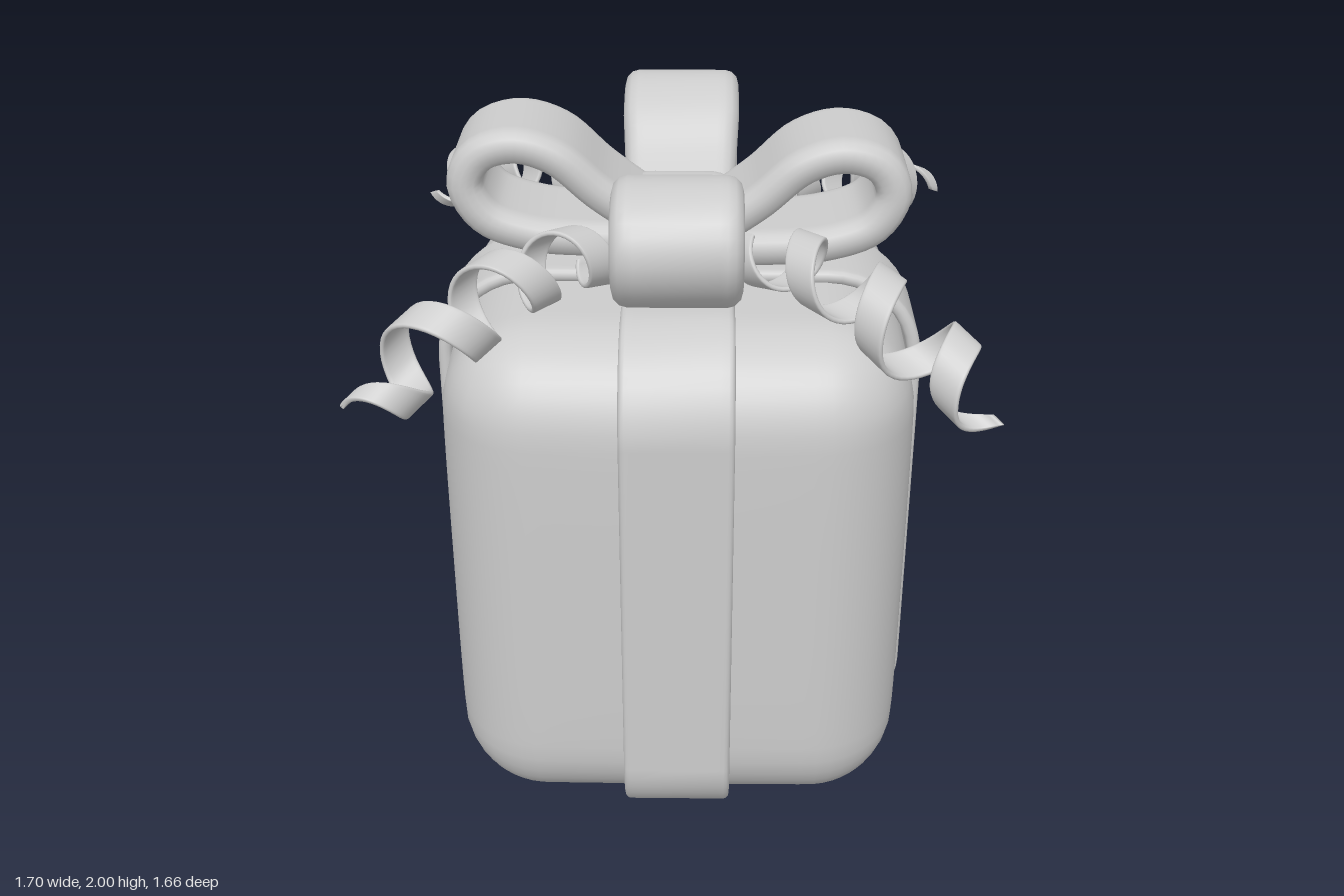
import * as THREE from 'three';
import { mergeVertices } from 'three/addons/utils/BufferGeometryUtils.js';

const V = (x, y, z) => new THREE.Vector3(x, y, z);

// Box with rounded corners whose sides swell slightly in the middle
function softBox(w, h, d, r, bulge, seg) {
  const geo = new THREE.BoxGeometry(w, h, d, seg, seg, seg);
  geo.deleteAttribute('normal');
  geo.deleteAttribute('uv');
  const half = V(w / 2, h / 2, d / 2);
  const inner = half.clone().subScalar(r);
  const low = inner.clone().negate();
  const pos = geo.attributes.position;
  const p = V(0, 0, 0), core = V(0, 0, 0);
  for (let i = 0; i < pos.count; i++) {
    p.fromBufferAttribute(pos, i);
    core.copy(p).clamp(low, inner);
    p.sub(core).setLength(r).add(core);
    const n = p.clone().divide(half);
    p.x *= 1 + bulge * (1 - n.z * n.z) * (1 - n.y ** 4);
    p.z *= 1 + bulge * (1 - n.x * n.x) * (1 - n.y ** 4);
    pos.setXYZ(i, p.x, p.y, p.z);
  }
  const merged = mergeVertices(geo, 1e-4);
  merged.computeVertexNormals();
  return merged;
}

// Cross-section of a ribbon: rounded rectangle, counter-clockwise
function ribbonSection(w, t) {
  const a = w / 2, b = t / 2, r = b * 0.85;
  const pts = [];
  const corners = [[1, 1, 0], [-1, 1, 1], [-1, -1, 2], [1, -1, 3]];
  for (const [sx, sy, q] of corners) {
    const arc = [];
    for (let k = 0; k <= 3; k++) {
      const ang = (q + k / 3) * Math.PI / 2;
      arc.push([sx * (a - r) + r * Math.cos(ang), sy * (b - r) + r * Math.sin(ang)]);
    }
    const inset = [sx * (a - r) * 0.85, sy * b];
    pts.push(...(q % 2 === 0 ? [...arc, inset] : [inset, ...arc]));
  }
  return pts;
}

// Sweep a ribbon along points; across(i) is the width direction, scale(u) the width factor
function ribbon(points, across, w, t, closed, scale = () => 1) {
  const n = points.length, verts = [], idx = [];
  const section = ribbonSection(w, t), m = section.length;
  for (let i = 0; i < n; i++) {
    const prev = points[closed ? (i + n - 1) % n : Math.max(i - 1, 0)];
    const next = points[closed ? (i + 1) % n : Math.min(i + 1, n - 1)];
    const tan = next.clone().sub(prev).normalize();
    const a = across(i).clone().normalize();
    const nor = tan.clone().cross(a).normalize();
    const s = scale(i / (n - 1));
    for (const [x, y] of section) {
      const p = points[i].clone().addScaledVector(a, x * s).addScaledVector(nor, y);
      verts.push(p.x, p.y, p.z);
    }
  }
  for (let i = 0; i < (closed ? n : n - 1); i++) {
    const i2 = (i + 1) % n;
    for (let j = 0; j < m; j++) {
      const j2 = (j + 1) % m;
      const a = i * m + j, b = i * m + j2, c = i2 * m + j, d = i2 * m + j2;
      idx.push(a, b, d, a, d, c);
    }
  }
  if (!closed) {
    const e = (n - 1) * m;
    for (let j = 1; j < m - 1; j++) idx.push(0, j + 1, j, e, e + j, e + j + 1);
  }
  const geo = new THREE.BufferGeometry();
  geo.setAttribute('position', new THREE.Float32BufferAttribute(verts, 3));
  geo.setIndex(idx);
  geo.computeVertexNormals();
  return geo;
}

// Closed loop around the box in the x-y plane
function bandPath() {
  const X = 0.683, top = 1.567, bottom = 0.022, pts = [];
  const corner = (cx, cy, r, start) => {
    for (let k = 0; k <= 10; k++) {
      const a = start + (k / 10) * Math.PI / 2;
      pts.push(V(cx + r * Math.cos(a), cy + r * Math.sin(a), 0));
    }
  };
  const rt = 0.26, rb = 0.21;
  corner(X - rt, top - rt, rt, 0);
  corner(-X + rt, top - rt, rt, Math.PI / 2);
  corner(-X + rb, bottom + rb, rb, Math.PI);
  corner(X - rb, bottom + rb, rb, Math.PI * 1.5);
  return pts;
}

// Springy ribbon curl running out along one diagonal, with a loose tail
function curlGeometry(sx, sz, phase, turns) {
  const axis = new THREE.CatmullRomCurve3(
    [[0.2, 1.66], [0.34, 1.685], [0.5, 1.655], [0.65, 1.57], [0.8, 1.47]]
      .map(([d, y]) => V(sx * d, y, sz * d)));
  const N = 120, pts = [], dirs = [];
  const side = V(-sz, 0, sx).normalize();
  for (let i = 0; i <= N; i++) {
    const u = i / N;
    const c = axis.getPoint(u), tan = axis.getTangent(u);
    const up = side.clone().cross(tan).normalize();
    const r = 0.075 + 0.03 * Math.min(u * 1.5, 1) - 0.06 * Math.max(0, (u - 0.8) / 0.2);
    const ang = phase + u * turns * Math.PI * 2;
    pts.push(c.addScaledVector(up, r * Math.cos(ang)).addScaledVector(side, r * Math.sin(ang)));
    dirs.push(tan);
  }
  const taper = u => Math.min(1, 0.4 + (1 - u) * 5);
  return ribbon(pts, i => dirs[i], 0.1, 0.014, false, taper);
}

export function createModel() {
  const model = new THREE.Group();
  const grey = new THREE.MeshStandardMaterial({ color: 0xcccccc });
  grey.name = 'plain grey';
  const add = (name, geo, parent = model) => {
    const mesh = new THREE.Mesh(geo, grey);
    mesh.name = name;
    parent.add(mesh);
    return mesh;
  };

  // Gift box
  add('box', softBox(1.29, 1.55, 1.29, 0.25, 0.034, 28)).position.y = 0.778;

  // Two crossing ribbon bands
  const bandGeo = ribbon(bandPath(), () => V(0, 0, 1), 0.31, 0.04, true);
  add('sideBand', bandGeo);
  add('frontBand', bandGeo).rotation.y = Math.PI / 2;

  // Bow: four teardrop loops around a soft knot, one loop standing a little taller
  const bow = new THREE.Group();
  bow.name = 'bow';
  model.add(bow);
  const loopCurve = new THREE.CatmullRomCurve3([
    [0.06, 1.645], [0.25, 1.648], [0.42, 1.665], [0.545, 1.715], [0.597, 1.81],
    [0.56, 1.89], [0.46, 1.923], [0.345, 1.89], [0.225, 1.785], [0.08, 1.68],
  ].map(([x, y]) => V(x, y, 0)));
  const pinch = u => 0.9 + 0.1 * Math.min(1, 4 * Math.min(u, 1 - u));
  const loopGeo = ribbon(loopCurve.getSpacedPoints(48), () => V(0, 0, 1), 0.345, 0.1, false, pinch);
  for (let k = 0; k < 4; k++) {
    const loop = add('bowLoop', loopGeo, bow);
    loop.rotation.y = k * Math.PI / 2;
    if (k === 2) loop.position.y = 0.025;
  }
  add('knot', softBox(0.34, 0.25, 0.34, 0.08, 0.03, 14), bow).position.y = 1.665;

  // Curled ribbon ends at the four corners
  const curls = [[1, 1, 0.4, 3.6], [-1, 1, 2.0, 3.8], [-1, -1, 0.9, 3.6], [1, -1, 2.6, 3.8]];
  for (const c of curls) add('ribbonCurl', curlGeometry(...c));

  return model;
}
